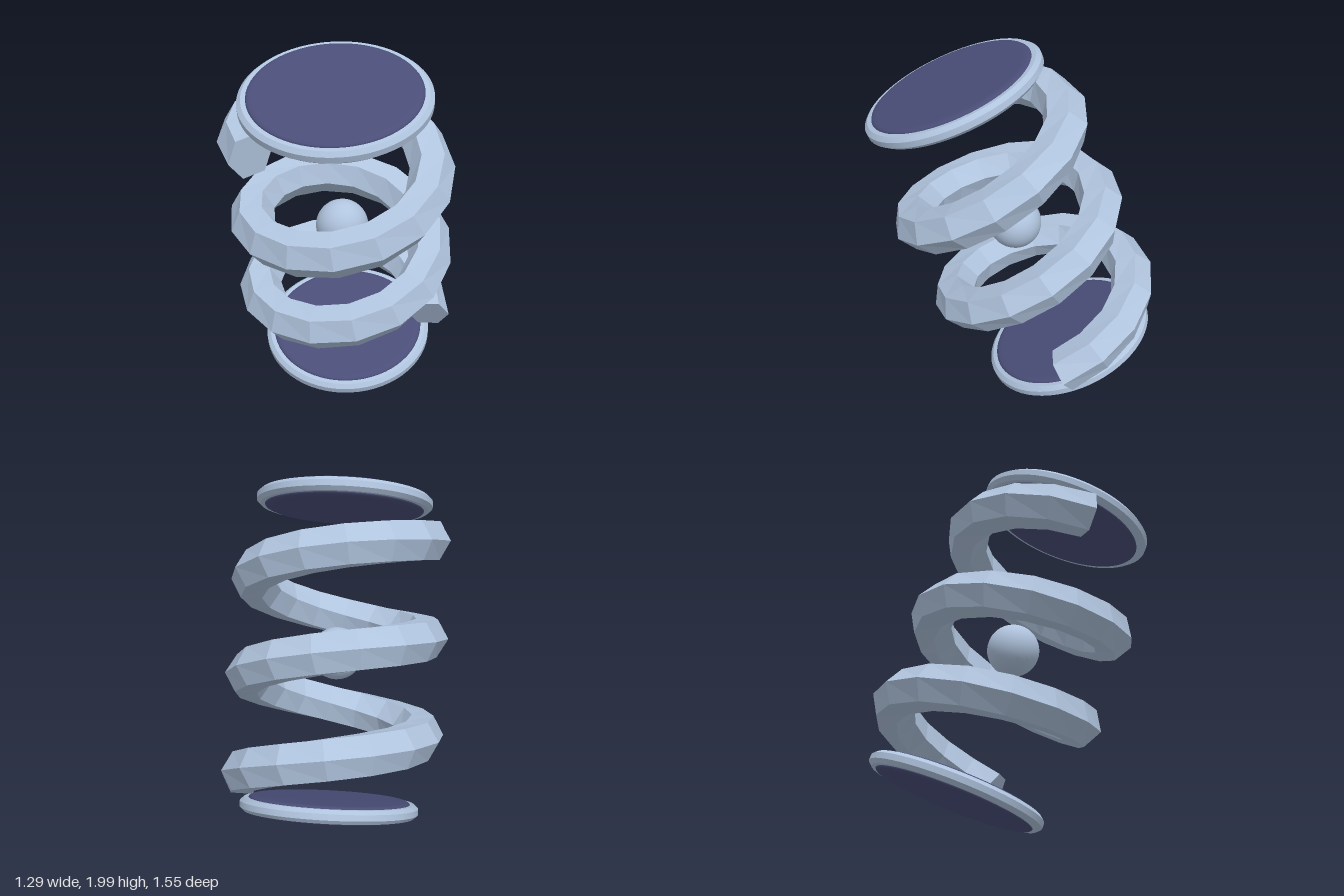
import * as THREE from 'three';
import { toCreasedNormals } from 'three/addons/utils/BufferGeometryUtils.js';

const steel = new THREE.MeshStandardMaterial({ color: 0xb0c4de });
steel.name = 'pale steel';
const navy = new THREE.MeshStandardMaterial({ color: 0x4a4e78 });
navy.name = 'navy';

// Hexagonal wire wound along a helix, one corner pointing outward, with flat facets
function coilGeometry(radius, wire, height, turns, startAngle, segments, sides) {
  const sweep = turns * Math.PI * 2;
  const positions = [];
  const index = [];
  const out = new THREE.Vector3(), tangent = new THREE.Vector3(), up = new THREE.Vector3();
  for (let i = 0; i <= segments; i++) {
    const t = i / segments;
    const a = startAngle - t * sweep;
    out.set(Math.cos(a), 0, Math.sin(a));
    tangent.set(Math.sin(a) * radius * sweep, height, -Math.cos(a) * radius * sweep).normalize();
    up.crossVectors(out, tangent);
    const centre = out.clone().multiplyScalar(radius).setY((t - 0.5) * height);
    for (let j = 0; j < sides; j++) {
      const phi = (j / sides) * Math.PI * 2;
      const p = centre.clone()
        .addScaledVector(out, wire * Math.cos(phi))
        .addScaledVector(up, wire * Math.sin(phi));
      positions.push(p.x, p.y, p.z);
    }
  }
  for (let i = 0; i < segments; i++) {
    for (let j = 0; j < sides; j++) {
      const k = (j + 1) % sides;
      const a = i * sides + j, b = i * sides + k, c = a + sides, d = b + sides;
      index.push(a, c, b, b, c, d);
    }
  }
  // End caps
  const last = segments * sides;
  for (let j = 1; j < sides - 1; j++) {
    index.push(0, j, j + 1, last, last + j + 1, last + j);
  }
  const indexed = new THREE.BufferGeometry();
  indexed.setAttribute('position', new THREE.Float32BufferAttribute(positions, 3));
  indexed.setIndex(index);
  const geometry = indexed.toNonIndexed();
  geometry.computeVertexNormals();
  return geometry;
}

function lathe(points) {
  return new THREE.LatheGeometry(points.map(([x, y]) => new THREE.Vector2(x, y)), 64);
}

function addMesh(parent, name, geometry, material) {
  const mesh = new THREE.Mesh(geometry, material);
  mesh.name = name;
  parent.add(mesh);
  return mesh;
}

export function createModel() {
  const model = new THREE.Group();
  model.name = 'coilSpring';

  // Everything is built around a vertical axis, then leaned forward
  const body = new THREE.Group();
  body.name = 'tiltedSpring';
  body.position.y = 1;
  body.quaternion.setFromUnitVectors(
    new THREE.Vector3(0, 1, 0),
    new THREE.Vector3(0.0975, 0.928, 0.36).normalize()
  );
  model.add(body);

  addMesh(body, 'coil', coilGeometry(0.49, 0.12, 1.4, 2.6, -0.28, 40, 6), steel);
  addMesh(body, 'centreBall', new THREE.SphereGeometry(0.145, 32, 20), steel);

  // End plates: pale chamfered rim around a rounded navy pad
  const rim = toCreasedNormals(lathe([
    [0.43, -0.036], [0.468, -0.036], [0.49, -0.016],
    [0.49, 0.016], [0.468, 0.036], [0.43, 0.036],
  ]), 0.5);
  const pad = lathe([
    [0, -0.05], [0.4, -0.05], [0.425, -0.048], [0.438, -0.043], [0.445, -0.034],
    [0.445, 0.034], [0.438, 0.043], [0.425, 0.048], [0.4, 0.05], [0, 0.05],
  ]);
  for (const [name, side] of [['top', 1], ['bottom', -1]]) {
    const plate = new THREE.Group();
    plate.name = name + 'Plate';
    plate.position.y = side * 0.846;
    addMesh(plate, name + 'Rim', rim, steel);
    addMesh(plate, name + 'Pad', pad, navy);
    body.add(plate);
  }
  return model;
}
